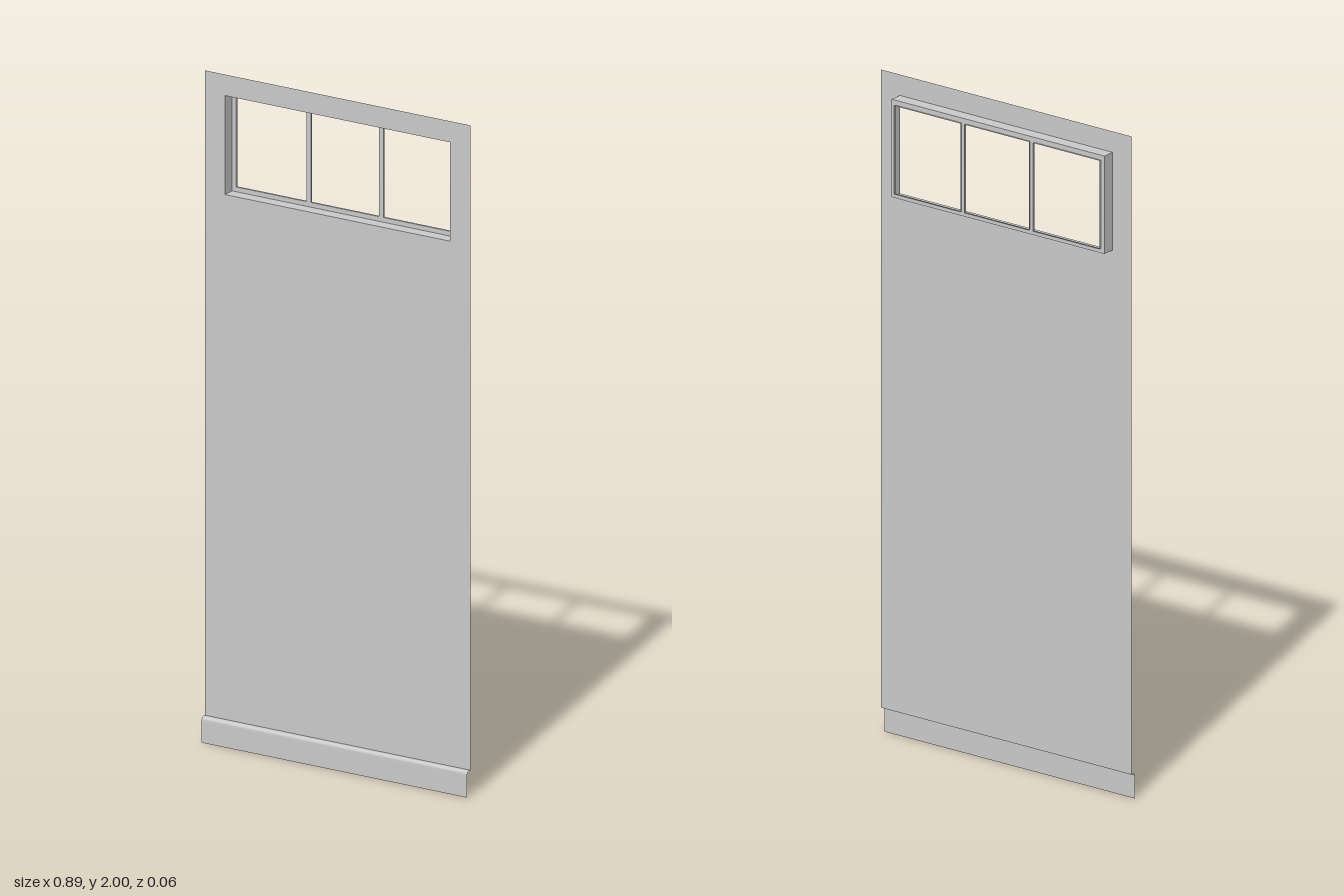
import * as THREE from 'three';

const HALF_W = 0.4445;                       // half width of the panel
const WALL_Z = 0.0135, FRAME_Z = -0.0245, RIM_Z = -0.031, FRONT_Z = 0.03;
const SKIRT_TOP = 0.077;
const RECESS = [-0.377, 0.377, 1.642, 1.937]; // x0, x1, y0, y1
const PANES = [[-0.364, -0.129], [-0.114, 0.114], [0.129, 0.364]]
  .map(([a, b]) => [a, b, 1.656, 1.922]);

const flat = new THREE.MeshStandardMaterial({ color: 0xcccccc, side: THREE.DoubleSide, flatShading: true });
const smooth = new THREE.MeshStandardMaterial({ color: 0xcccccc, side: THREE.DoubleSide });

function rectangle(target, [x0, x1, y0, y1]) {
  target.moveTo(x0, y0);
  target.lineTo(x1, y0);
  target.lineTo(x1, y1);
  target.lineTo(x0, y1);
  target.closePath();
  return target;
}

// Flat sheet with rectangular openings
function sheet(outer, holes, z) {
  const shape = rectangle(new THREE.Shape(), outer);
  shape.holes = holes.map(h => rectangle(new THREE.Path(), h));
  return new THREE.ShapeGeometry(shape).translate(0, 0, z);
}

// Open four-sided sleeve running in z around a rectangle
function sleeve([x0, x1, y0, y1], z0, z1) {
  return new THREE.CylinderGeometry(Math.SQRT1_2, Math.SQRT1_2, 1, 4, 1, true, Math.PI / 4)
    .rotateX(Math.PI / 2)
    .scale(x1 - x0, y1 - y0, Math.abs(z1 - z0))
    .translate((x0 + x1) / 2, (y0 + y1) / 2, (z0 + z1) / 2);
}

// Sheet across the full width that follows a (z, y) profile from top to bottom
function profileSheet(profile) {
  const geometry = new THREE.PlaneGeometry(2 * HALF_W, 1, 1, profile.length - 1);
  const p = geometry.attributes.position;
  for (let i = 0; i < p.count; i++) {
    const [z, y] = profile[Math.floor(i / 2)];
    p.setXYZ(i, p.getX(i), y, z);
  }
  geometry.computeVertexNormals();
  return geometry;
}

export function createModel() {
  const model = new THREE.Group();
  model.name = 'panelWithWindow';
  const add = (name, geometry, material = flat) => {
    const mesh = new THREE.Mesh(geometry, material);
    mesh.name = name;
    model.add(mesh);
  };

  // Main panel
  add('panel', sheet([-HALF_W, HALF_W, SKIRT_TOP, 2], [RECESS], WALL_Z));

  // Recessed window with three openings, each with a thin rim at the back
  add('windowRecess', sleeve(RECESS, FRAME_Z, WALL_Z));
  add('windowFrame', sheet(RECESS, PANES, FRAME_Z));
  PANES.forEach((pane, i) => add(`paneRim${i + 1}`, sleeve(pane, RIM_Z, FRAME_Z)));

  // Base skirt: a ledge rounded over into an upright face
  const r = 0.009;
  const profile = [[WALL_Z, SKIRT_TOP]];
  for (let i = 0; i <= 5; i++) {
    const a = (i / 5) * Math.PI / 2;
    profile.push([FRONT_Z - r + r * Math.sin(a), SKIRT_TOP - r + r * Math.cos(a)]);
  }
  profile.push([FRONT_Z, 0.06], [FRONT_Z, 0]);
  add('baseSkirt', profileSheet(profile), smooth);

  return model;
}
